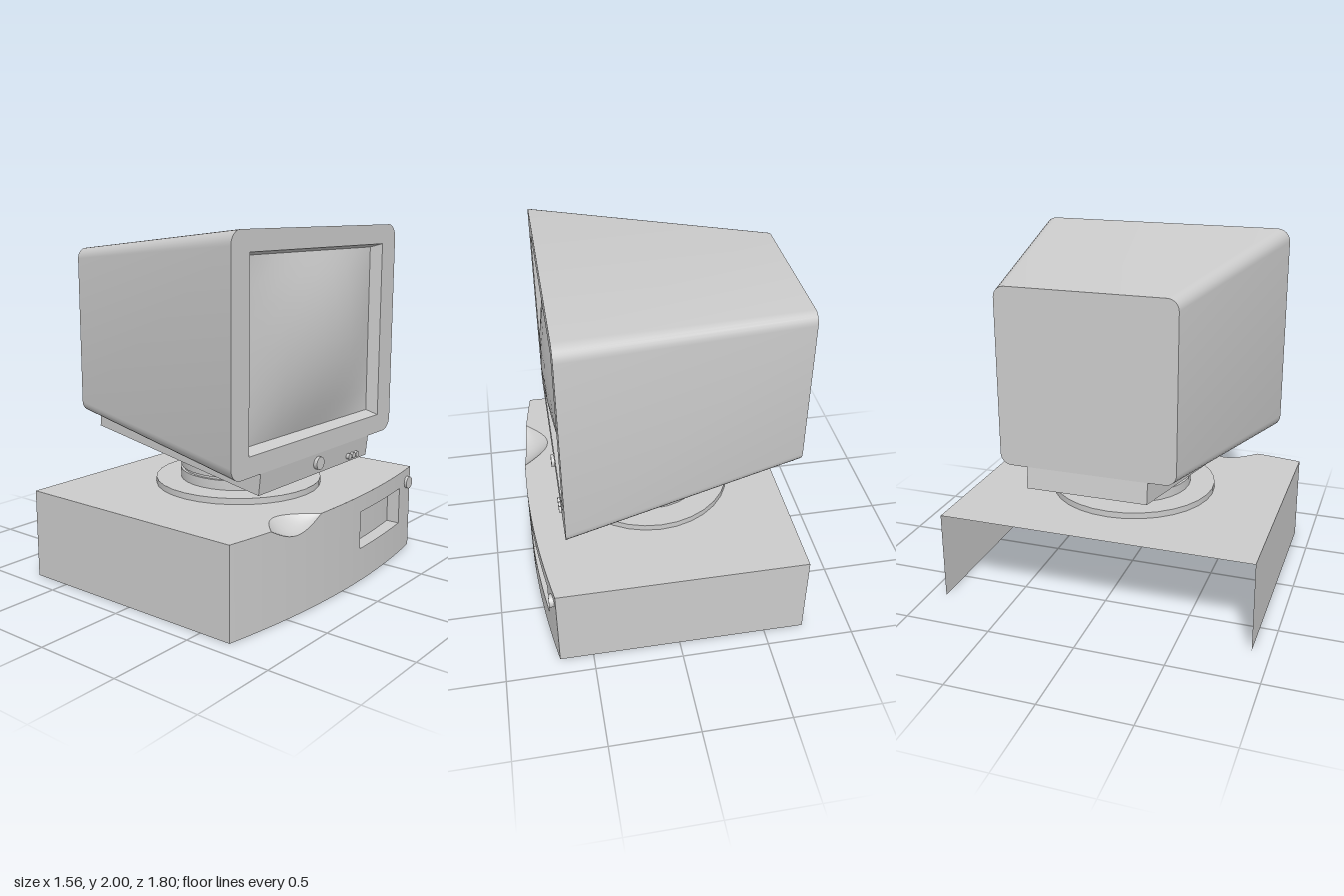
import * as THREE from 'three';
import { mergeGeometries, toCreasedNormals } from 'three/addons/utils/BufferGeometryUtils.js';

const material = new THREE.MeshStandardMaterial({ color: 0xcccccc, side: THREE.DoubleSide });

// Surface through rows of [x, y, z] points
function loft(rows) {
  const n = rows[0].length, index = [];
  for (let i = 0; i < rows.length - 1; i++) {
    for (let j = 0; j < n - 1; j++) {
      const a = i * n + j, b = a + n;
      index.push(a, a + 1, b, b, a + 1, b + 1);
    }
  }
  const g = new THREE.BufferGeometry();
  g.setAttribute('position', new THREE.Float32BufferAttribute(rows.flat(2), 3));
  g.setIndex(index);
  return toCreasedNormals(g, 0.5);
}

// Closed rounded rectangle as [z, y] pairs
function roundedRect(halfZ, y0, y1, r) {
  const pts = [], steps = r ? 6 : 0;
  const corners = [[halfZ - r, y1 - r], [r - halfZ, y1 - r], [r - halfZ, y0 + r], [halfZ - r, y0 + r]];
  corners.forEach(([z, y], c) => {
    for (let k = 0; k <= steps; k++) {
      const a = (c + (steps ? k / steps : 0)) * Math.PI / 2;
      pts.push([z + r * Math.cos(a), y + r * Math.sin(a)]);
    }
  });
  pts.push(pts[0]);
  return pts;
}

const at = (x, pts) => pts.map(([z, y]) => [x, y, z]);

// Flat plate of [z, y] points facing +x (dir 1) or -x (dir -1)
function plate(x, pts, dir, hole) {
  const flat = (p) => p.map(([z, y]) => new THREE.Vector2(-z * dir, y));
  const shape = new THREE.Shape(flat(pts));
  if (hole) shape.holes.push(new THREE.Path(flat(hole)));
  return new THREE.ShapeGeometry(shape).rotateY(dir * Math.PI / 2).translate(x, 0, 0);
}

export function createModel() {
  const model = new THREE.Group();
  const add = (parent, name, geometry) => {
    const mesh = new THREE.Mesh(geometry, material);
    mesh.name = name;
    parent.add(mesh);
    return mesh;
  };
  const group = (name) => {
    const g = new THREE.Group();
    g.name = name;
    model.add(g);
    return g;
  };
  // Round knob pointing along +x
  const knob = (parent, name, x, y, z, r, depth) => {
    const g = new THREE.CylinderGeometry(r, r, depth, 20).rotateZ(-Math.PI / 2);
    add(parent, name, g).position.set(x, y, z);
  };

  // Monitor housing, tapering towards its back
  const monitor = group('monitor');
  const front = roundedRect(0.775, 0.765, 2, 0.075);
  const back = roundedRect(0.485, 0.9, 1.865, 0.06);
  const opening = roundedRect(0.63, 0.875, 1.89, 0);
  const inner = roundedRect(0.612, 0.9, 1.87, 0);
  add(monitor, 'monitorHousing', loft([at(0.6, front), at(-0.77, back)]));
  add(monitor, 'monitorBack', plate(-0.77, back, -1));
  add(monitor, 'bezel', plate(0.6, front, 1, opening));
  add(monitor, 'bezelRecess', loft([at(0.53, inner), at(0.6, opening)]));

  // Bulging screen
  const screenRows = [];
  for (let i = -4; i <= 4; i++) {
    const row = [], v = i / 4;
    for (let j = -4; j <= 4; j++) {
      const u = j / 4;
      row.push([0.53 + 0.095 * (1 - u * u) * (1 - v * v), 1.385 + 0.485 * v, -0.612 * u]);
    }
    screenRows.push(row);
  }
  add(monitor, 'screen', loft(screenRows.reverse()));

  // Tapered chin under the housing
  const chinEnd = (xTop, yTop, xLow, yLow, w) =>
    [[xTop, yTop, w], [xTop, yTop, -w], [xLow, yLow, -w], [xLow, yLow, w], [xTop, yTop, w]];
  const chinFront = chinEnd(0.599, 0.77, 0.585, 0.645, 0.53);
  const chinBack = chinEnd(-0.769, 0.905, -0.782, 0.783, 0.333);
  const cap = ([a, b, c, d]) => loft([[a, b], [d, c]]);
  add(monitor, 'chin', mergeGeometries([
    loft([chinFront, chinBack]), cap(chinFront), cap([...chinBack].reverse().slice(1)),
  ]));
  knob(monitor, 'monitorButton', 0.597, 0.71, 0, 0.037, 0.036);
  for (const z of [-0.32, -0.36, -0.4]) knob(monitor, 'monitorControl', 0.594, 0.68, z, 0.017, 0.03);

  // Swivel pedestal, open underneath
  const profile = [[0.485, 0.39], [0.485, 0.545], [0.34, 0.545], [0.34, 0.6], [0.325, 0.6],
    [0.325, 0.615], [0.337, 0.615], [0.337, 0.755]].map(([r, y]) => new THREE.Vector2(r, y));
  const pedestal = add(model, 'pedestal', toCreasedNormals(new THREE.LatheGeometry(profile, 32), 0.5));
  pedestal.position.x = 0.035;

  // Case shell: bowed front, open at the back and bottom
  const computer = group('computerCase');
  const H = 0.51, backX = -0.73;
  const bow = (z) => 0.775 - 0.085 * (z / 0.9) ** 2;
  const notch = (z) => (z > 0.22 && z < 0.62 ? Math.sin(Math.PI * (z - 0.22) / 0.4) : 0);
  const lip = (z) => H - 0.07 * notch(z);
  const span = (z0, z1, n = 12) => Array.from({ length: n + 1 }, (_, i) => z0 + (z1 - z0) * i / n);
  const strip = (z0, z1, low, high, inset = 0) => {
    const zs = span(z1, z0);
    return loft([low, high].map((y) => zs.map((z) => [bow(z) - inset, typeof y === 'function' ? y(z) : y, z])));
  };
  const s0 = -0.715, s1 = -0.18, slotLow = 0.195, slotHigh = 0.415;
  add(computer, 'caseFront', mergeGeometries([
    strip(-0.9, s0, 0, H), strip(s0, s1, 0, slotLow), strip(s0, s1, slotHigh, H),
    strip(s1, 0.22, 0, H), strip(0.22, 0.62, 0, lip), strip(0.62, 0.9, 0, H),
  ]));

  // Top with the finger notch cut from its front edge
  const edge = [...span(-0.9, 0.22), ...span(0.22, 0.62).slice(1), ...span(0.62, 0.9).slice(1)]
    .map((z) => new THREE.Vector2(bow(z) - 0.145 * notch(z), -z));
  const topShape = new THREE.Shape([new THREE.Vector2(backX, -0.9), new THREE.Vector2(backX, 0.9), ...edge]);
  add(computer, 'caseTop', new THREE.ShapeGeometry(topShape).rotateX(-Math.PI / 2).translate(0, H, 0));
  add(computer, 'fingerNotch', loft(span(0, 1, 6).map((u) => span(0.62, 0.22).map((z) => [
    bow(z) - 0.145 * notch(z) * (1 - u), H - 0.07 * notch(z) * Math.sin(u * Math.PI / 2), z,
  ])).reverse()));

  // Side walls
  for (const side of [1, -1]) {
    const wall = new THREE.PlaneGeometry(bow(0.9) - backX, H);
    if (side < 0) wall.rotateY(Math.PI);
    add(computer, 'caseSide', wall).position.set((bow(0.9) + backX) / 2, H / 2, 0.9 * side);
  }

  // Recessed drive bay
  const bayRing = (inset) => [
    ...span(s1, s0).map((z) => [bow(z) - inset, slotHigh, z]),
    ...span(s0, s1).map((z) => [bow(z) - inset, slotLow, z]),
    [bow(s1) - inset, slotHigh, s1],
  ];
  add(computer, 'driveBay', mergeGeometries([
    loft([bayRing(0.08), bayRing(0)]), strip(s0, s1, slotLow, slotHigh, 0.08),
  ]));
  knob(computer, 'powerButton', 0.705, 0.425, -0.835, 0.037, 0.036);

  return model;
}
